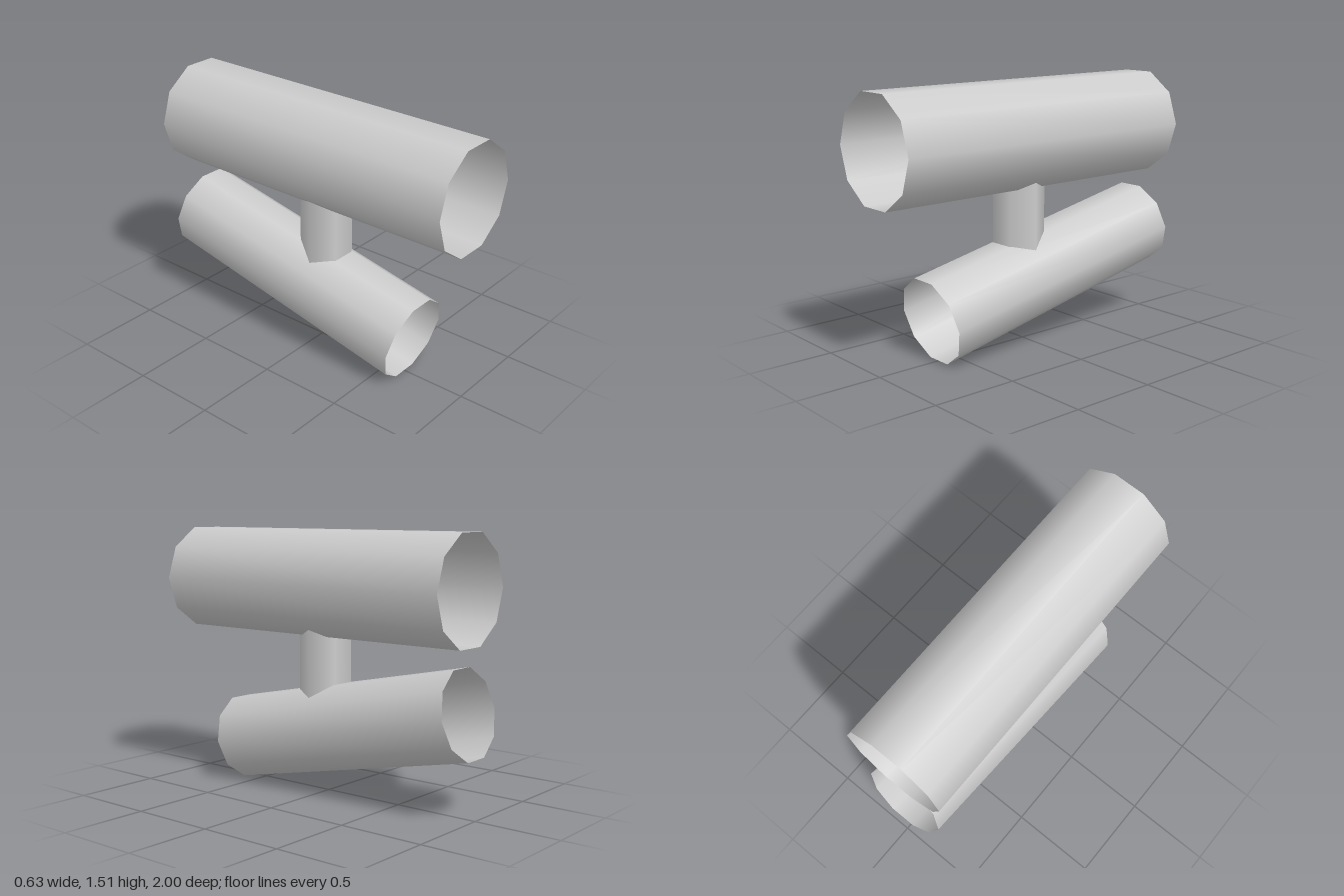
import * as THREE from 'three';

export function createModel() {
  const model = new THREE.Group();
  const grey = new THREE.MeshStandardMaterial({ color: 0xcccccc, side: THREE.DoubleSide });
  grey.name = 'plain grey';

  // Open smooth-shaded tube with corners on the x axis
  function tube(name, radius, length, sides) {
    const geometry = new THREE.CylinderGeometry(
      radius, radius, length, sides, 1, true, Math.PI / 2);
    const mesh = new THREE.Mesh(geometry, grey);
    mesh.name = name;
    model.add(mesh);
    return mesh;
  }

  // Level ten-sided upper tube, running front to back
  const upper = tube('upperTube', 0.315, 1.95, 10);
  upper.rotation.x = Math.PI / 2;
  upper.position.set(0, 1.218, 0.025);

  // Thinner lower tube, sloping down towards the front
  const lower = tube('lowerTube', 0.255, 1.643, 10);
  lower.rotation.x = Math.PI / 2 + 0.202;
  lower.position.set(0, 0.407, -0.145);

  // Six-sided post joining the two tube axes
  const bottom = 0.372, top = 1.218;
  const post = tube('connectingPost', 0.15, top - bottom, 6);
  post.position.set(0, (top + bottom) / 2, 0.027);

  return model;
}
